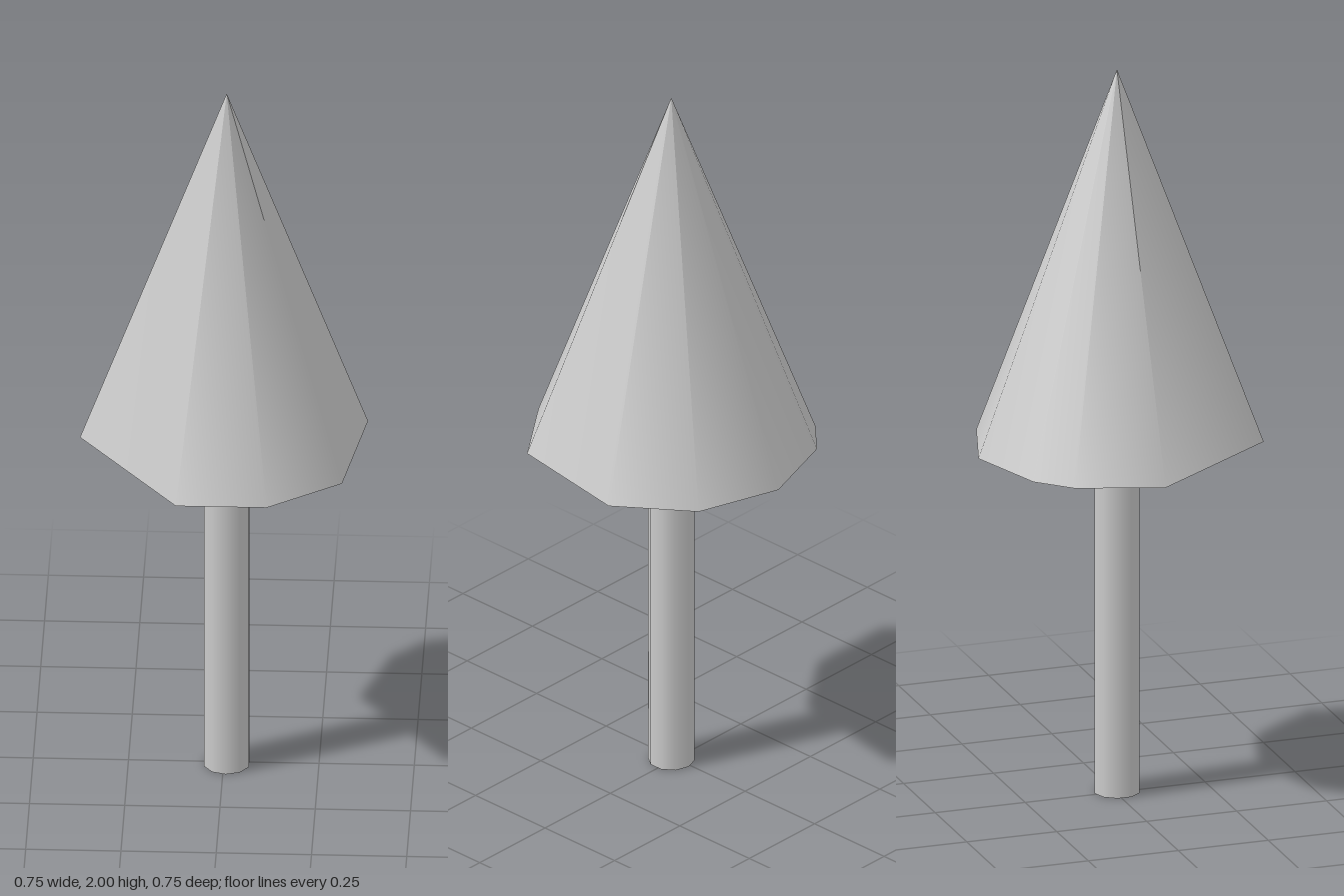
import * as THREE from 'three';

const CENTRE = 0.008;
const CROWN_BASE = 0.965;
const CROWN_RADIUS = 0.385;
const TRUNK_RADIUS = 0.062;

// Corner directions of the unevenly sided crown, in degrees from +z towards +x
const CORNERS = [18, 54, 108, 144, 180, 216, 234, 270, 342];

// Turn each evenly spaced corner (or its normal) to its uneven direction
function turnToCorners(attribute) {
  const n = CORNERS.length;
  for (let i = 0; i < attribute.count; i++) {
    const x = attribute.getX(i), z = attribute.getZ(i);
    const r = Math.hypot(x, z);
    if (r < 1e-5) continue;
    const k = Math.round(Math.atan2(x, z) / (2 * Math.PI) * n);
    const angle = THREE.MathUtils.degToRad(CORNERS[(k + n) % n]);
    attribute.setX(i, r * Math.sin(angle));
    attribute.setZ(i, r * Math.cos(angle));
  }
}

export function createModel() {
  const tree = new THREE.Group();
  tree.name = 'tree';
  const material = new THREE.MeshStandardMaterial({ color: 0xcccccc });

  // Pointed crown with a flat underside
  const height = 2 - CROWN_BASE;
  const crownGeometry = new THREE.ConeGeometry(CROWN_RADIUS, height, CORNERS.length);
  turnToCorners(crownGeometry.attributes.position);
  turnToCorners(crownGeometry.attributes.normal);
  const crown = new THREE.Mesh(crownGeometry, material);
  crown.name = 'crown';
  crown.position.set(CENTRE, CROWN_BASE + height / 2, CENTRE);
  tree.add(crown);

  // Straight trunk
  const trunk = new THREE.Mesh(
    new THREE.CylinderGeometry(TRUNK_RADIUS, TRUNK_RADIUS, CROWN_BASE, 10), material);
  trunk.name = 'trunk';
  trunk.position.set(CENTRE, CROWN_BASE / 2, CENTRE);
  tree.add(trunk);

  return tree;
}
